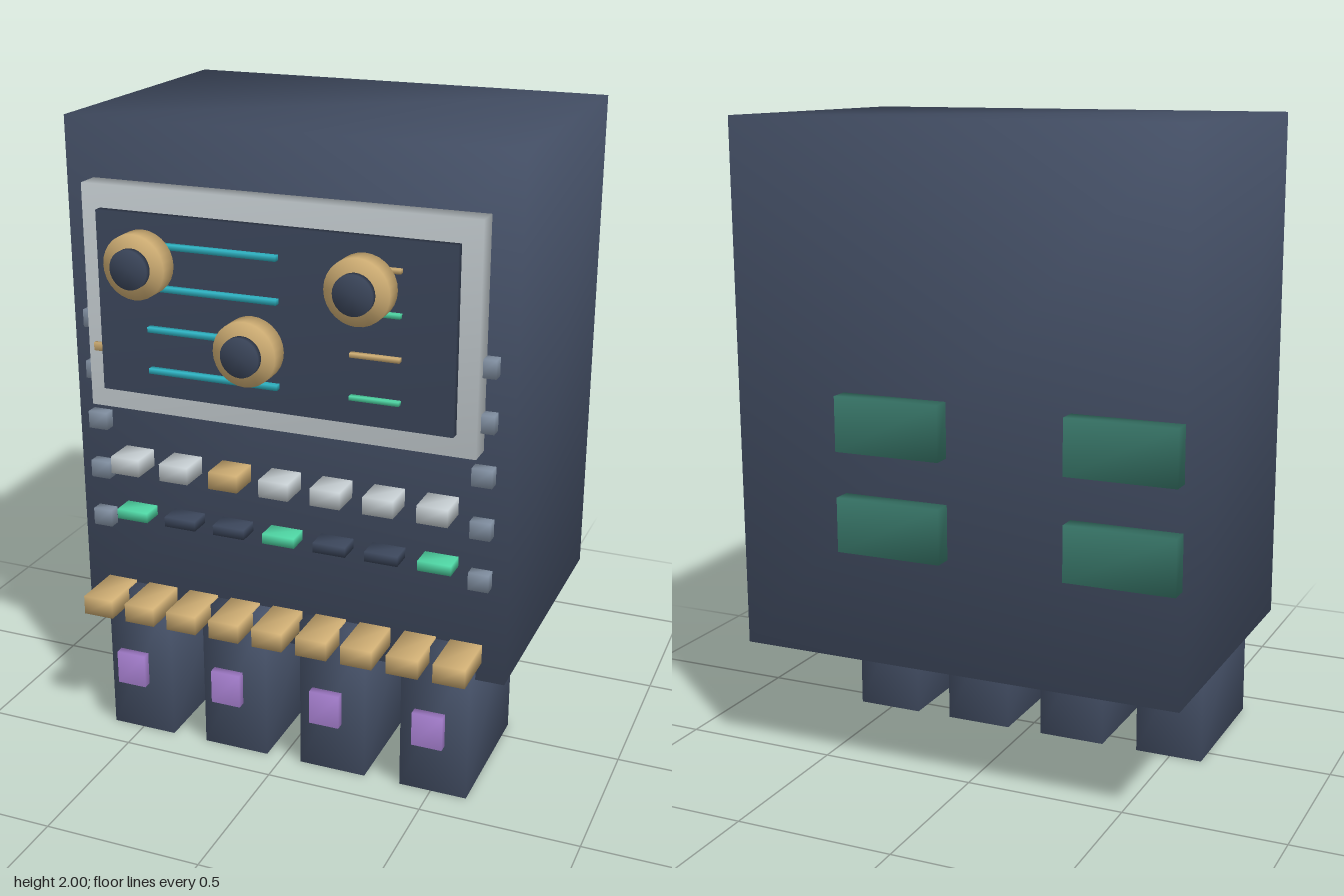
import * as THREE from 'three';
import { mergeVertices } from 'three/addons/utils/BufferGeometryUtils.js';

const mat = (name, color) => {
  const m = new THREE.MeshStandardMaterial({ color });
  m.name = name;
  return m;
};

// Weld a geometry's corners so its shading runs smoothly over the edges
function soften(geometry) {
  geometry.deleteAttribute('normal');
  geometry.deleteAttribute('uv');
  const welded = mergeVertices(geometry, 1e-4);
  welded.computeVertexNormals();
  return welded;
}

export function createModel() {
  const slate = mat('slate', 0x4a566e);
  const dark = mat('darkSlate', 0x3c475c);
  const gold = mat('brass', 0xcfae74);
  const silver = mat('silver', 0xc8d0d4);
  const steel = mat('steel', 0x8998ab);
  const mint = mat('mint', 0x4fd6a4);
  const cyan = mat('cyan', 0x2fb4c4);
  const purple = mat('violet', 0xb48ae0);
  const teal = mat('teal', 0x3a7a6c);

  const model = new THREE.Group();
  model.name = 'controlCabinet';

  // Box from its extents on each axis
  function box(name, material, [x0, x1], [y0, y1], [z0, z1]) {
    const mesh = new THREE.Mesh(soften(new THREE.BoxGeometry(x1 - x0, y1 - y0, z1 - z0)), material);
    mesh.position.set((x0 + x1) / 2, (y0 + y1) / 2, (z0 + z1) / 2);
    mesh.name = name;
    model.add(mesh);
  }
  const span = (centre, size) => [centre - size / 2, centre + size / 2];

  // Disc facing forward
  function disc(name, material, x, y, radius, [z0, z1]) {
    const geometry = new THREE.CylinderGeometry(radius, radius, z1 - z0, 28).rotateX(Math.PI / 2);
    const mesh = new THREE.Mesh(soften(geometry), material);
    mesh.position.set(x, y, (z0 + z1) / 2);
    mesh.name = name;
    model.add(mesh);
  }

  // Cabinet
  box('body', slate, [-0.705, 0.705], [0.387, 2], [-0.603, 0.337]);

  // Display panel
  box('panelFrame', silver, [-0.615, 0.615], [1.13, 1.82], [0.337, 0.412]);
  box('screen', dark, [-0.555, 0.555], [1.198, 1.75], [0.412, 0.44]);
  box('frameTab', gold, [-0.592, -0.54], [1.31, 1.335], [0.41, 0.425]);

  // Screen lines
  [1.665, 1.537, 1.409, 1.281].forEach((y, i) => {
    box('traceLine', cyan, [-0.388, 0.026], span(y, 0.016), [0.44, 0.461]);
    box('readoutLine', i % 2 ? mint : gold, [0.248, 0.398], span(y, 0.013), [0.44, 0.458]);
  });

  // Knobs standing in front of the screen
  for (const [x, y] of [[-0.335, 1.645], [0.333, 1.645], [0, 1.43]]) {
    disc('knob', gold, x, y, 0.095, [0.563, 0.624]);
    disc('knobCap', dark, x, y, 0.058, [0.635, 0.655]);
  }

  // Button and indicator rows
  for (let i = 0; i < 7; i++) {
    const x = (i - 3) * 0.166;
    box('button', i === 2 ? gold : silver, span(x, 0.095), [0.92, 0.975], [0.337, 0.44]);
    box('indicator', i % 3 === 0 ? mint : dark, span(x, 0.104), [0.753, 0.785], [0.337, 0.408]);
  }

  // Side studs
  for (const side of [-1, 1]) {
    for (let i = 0; i < 5; i++) {
      box('sideStud', steel, span(side * 0.623, 0.063), span(0.73 + i * 0.165, 0.055), [0.337, 0.375]);
    }
  }

  // Row of keys
  for (let i = 0; i < 9; i++) {
    box('key', gold, span((i - 4) * 0.1455, 0.1), [0.447, 0.508], [0.337, 0.503]);
  }

  // Legs with violet plates
  for (let i = 0; i < 4; i++) {
    const x = 0.005 + (i - 1.5) * 0.334;
    box('leg', slate, span(x, 0.217), [0, 0.5], [-0.07, 0.392]);
    box('legPlate', purple, span(x, 0.097), [0.197, 0.307], [0.436, 0.464]);
  }

  // Rear vents
  for (const x of [-0.54, 0.177]) {
    for (const y of [0.823, 1.127]) {
      box('rearVent', teal, span(x, 0.332), span(y, 0.166), [-0.66, -0.603]);
    }
  }

  return model;
}
